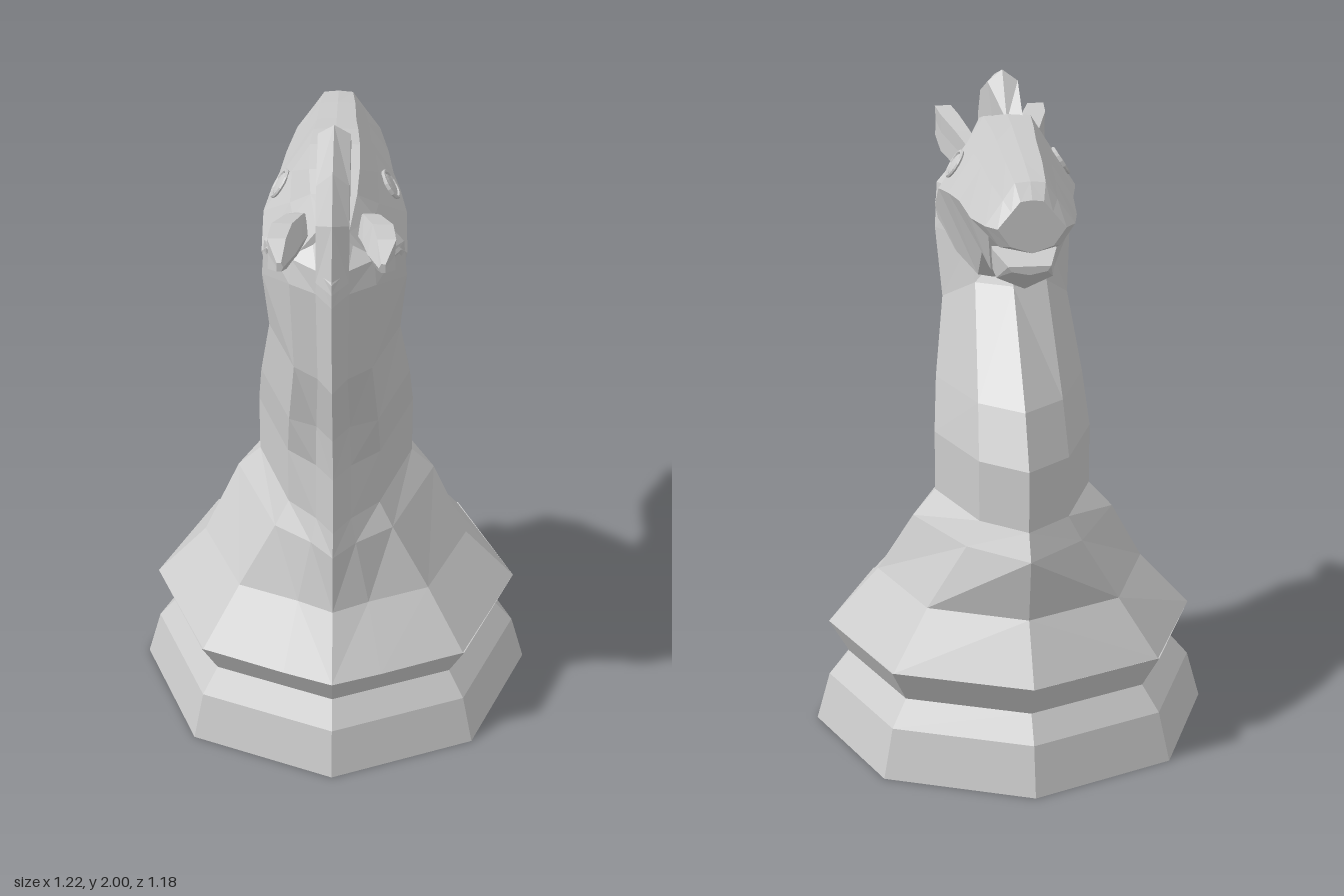
import * as THREE from 'three';

const material = new THREE.MeshStandardMaterial({ color: 0xcccccc, flatShading: true });

function addMesh(parent, name, geometry) {
  const mesh = new THREE.Mesh(geometry, material);
  mesh.name = name;
  parent.add(mesh);
  return mesh;
}

// Mirrors a half section (first and last points on x = 0) into a closed ring
const mirrorRing = half => [
  ...half,
  ...half.slice(1, -1).reverse().map(([x, y, z]) => [-x, y, z]),
];

// Regular ring of points from an angle rule
const ringOf = (n, point) => Array.from({ length: n }, (_, i) => point((i * 2 * Math.PI) / n, i));

// Skins closed rings, caps both ends and turns all faces outward
function loft(rings) {
  const n = rings[0].length;
  const tris = [];
  for (let i = 0; i < rings.length - 1; i++) {
    for (let j = 0; j < n; j++) {
      const k = (j + 1) % n;
      const [a, b, c, d] = [rings[i][j], rings[i][k], rings[i + 1][k], rings[i + 1][j]];
      // Mirrored diagonals keep both halves alike
      if (j < n / 2) tris.push([a, b, c], [a, c, d]);
      else tris.push([a, b, d], [b, c, d]);
    }
  }
  const cap = (ring, flip) => {
    const mid = [0, 1, 2].map(c => ring.reduce((s, p) => s + p[c], 0) / n);
    ring.forEach((p, j) => {
      const q = ring[(j + 1) % n];
      tris.push(flip ? [mid, q, p] : [mid, p, q]);
    });
  };
  cap(rings[0], true);
  cap(rings[rings.length - 1], false);
  const [u, v, w] = [0, 1, 2].map(() => new THREE.Vector3());
  let volume = 0;
  for (const [a, b, c] of tris) {
    volume += u.fromArray(a).dot(v.fromArray(b).cross(w.fromArray(c)));
  }
  if (volume < 0) tris.forEach(t => t.reverse());
  const geometry = new THREE.BufferGeometry();
  geometry.setAttribute('position', new THREE.Float32BufferAttribute(tris.flat(2), 3));
  geometry.computeVertexNormals();
  return geometry;
}

// Neck section: mane ridge, mane edge, back, side, chest edge, chest ridge
function neckRing([y, maneZ, backZ, halfWidth, sideZ, chestZ, frontZ, backRise, frontRise]) {
  const flared = y < 0.6;
  return mirrorRing([
    [0, y + backRise, maneZ],
    [(flared ? 0.26 : 0.22) * halfWidth, y + backRise, maneZ - (flared ? 0.055 : 0.078)],
    [(flared ? 0.7 : 0.58) * halfWidth, y + backRise, backZ],
    [halfWidth, y, sideZ],
    [(flared ? 0.7 : 0.56) * halfWidth, y + frontRise, chestZ],
    [0, y + frontRise, frontZ],
  ]);
}

// Head section: underside, jaw edge, cheek, brow, top edge, top
function headRing([z, jawX, jawY, cheekX, cheekY, topY]) {
  return mirrorRing([
    [0, jawY - 0.02, z],
    [jawX, jawY, z],
    [cheekX, cheekY, z],
    [0.6 * cheekX, topY - 0.4 * (topY - cheekY), z],
    [0.34 * cheekX, topY, z],
    [0, topY + 0.004, z],
  ]);
}

export function createModel() {
  const model = new THREE.Group();
  model.name = 'knightChessPiece';

  // Octagonal stepped base
  addMesh(model, 'base', loft([[0, 0.61], [0.15, 0.568], [0.225, 0.505], [0.33, 0.565]]
    .map(([y, r]) => ringOf(8, a => [r * Math.sin(a), y, 0.97 * r * Math.cos(a)]))));

  // Body flaring from the base into the curved neck
  addMesh(model, 'bodyAndNeck', loft([
    [0.33, 0.548, 0.388, 0.565, 0, -0.388, -0.548, 0, 0],
    [0.5, 0.415, 0.285, 0.41, 0, -0.31, -0.435, 0, 0],
    [0.7, 0.41, 0.25, 0.305, -0.07, -0.33, -0.475, 0, 0],
    [0.775, 0.39, 0.225, 0.235, -0.055, -0.32, -0.43, 0, 0],
    [0.96, 0.38, 0.225, 0.235, -0.055, -0.32, -0.43, 0, 0],
    [1.11, 0.4, 0.285, 0.222, 0.02, -0.24, -0.345, 0, 0],
    [1.33, 0.49, 0.35, 0.19, 0.12, -0.02, -0.08, 0, 0.08],
    [1.53, 0.515, 0.385, 0.205, 0.175, 0.02, -0.02, 0.09, 0],
    [1.66, 0.512, 0.37, 0.195, 0.21, 0.05, 0.02, 0.03, 0],
    [1.76, 0.44, 0.3, 0.11, 0.21, 0.1, 0.08, 0, 0],
  ].map(neckRing)));

  // Head from nose to back of the skull
  addMesh(model, 'head', loft([
    [-0.47, 0.06, 1.64, 0.095, 1.69, 1.765],
    [-0.43, 0.085, 1.63, 0.125, 1.69, 1.808],
    [-0.3, 0.1, 1.63, 0.15, 1.68, 1.835],
    [-0.27, 0.09, 1.52, 0.153, 1.683, 1.84],
    [-0.14, 0.1, 1.535, 0.165, 1.69, 1.86],
    [-0.04, 0.1, 1.44, 0.185, 1.688, 1.878],
    [0.07, 0.15, 1.48, 0.203, 1.675, 1.886],
    [0.17, 0.19, 1.53, 0.205, 1.6, 1.86],
    [0.24, 0.14, 1.56, 0.188, 1.65, 1.82],
    [0.36, 0.08, 1.61, 0.13, 1.66, 1.77],
  ].map(headRing)));

  // Lower jaw: z, keel y, edge x and y, lip x and y
  addMesh(model, 'lowerJaw', loft([
    [-0.2, 1.51, 0.09, 1.535, 0.09, 1.6],
    [-0.32, 1.475, 0.08, 1.51, 0.09, 1.592],
    [-0.425, 1.545, 0.05, 1.555, 0.06, 1.57],
  ].map(([z, keel, ex, ey, lx, ly]) =>
    mirrorRing([[0, keel, z], [ex, ey, z], [lx, ly, z], [0, ly, z]]))));

  // Crest of the mane: ridge z and y, bevel z and y, root z and y
  addMesh(model, 'maneCrest', loft([
    [0.07, 1.87, 0.04, 1.87, 0.06, 1.84],
    [0.18, 2, 0.17, 1.968, 0.16, 1.83],
    [0.37, 1.95, 0.355, 1.905, 0.27, 1.79],
    [0.46, 1.84, 0.42, 1.82, 0.34, 1.74],
    [0.515, 1.66, 0.445, 1.66, 0.4, 1.64],
  ].map(([z, y, bz, by, rz, ry]) =>
    mirrorRing([[0, y, z], [0.045, by, bz], [0.045, ry, rz], [0, ry, rz]]))));

  // Ears: centre x, y, z and radii, hexagonal with a hollow on the outer face
  const earStations = [
    [0.085, 1.73, 0.235, 0.03, 0.035],
    [0.105, 1.737, 0.3, 0.045, 0.063],
    [0.135, 1.765, 0.41, 0.055, 0.066],
    [0.145, 1.783, 0.505, 0.05, 0.053],
    [0.137, 1.773, 0.56, 0.012, 0.015],
  ];
  for (const [side, s] of [['left', 1], ['right', -1]]) {
    addMesh(model, side + 'Ear', loft(earStations.map(([x, y, z, rx, ry]) =>
      ringOf(6, (a, i) => [
        s * (x + rx * (i === 0 ? 0.45 : 1) * Math.cos(a)),
        y + ry * Math.sin(a),
        z,
      ]))));

    // Eyes lying on the sloping cheeks
    const eye = new THREE.Group();
    eye.name = side + 'Eye';
    eye.position.set(s * 0.157, 1.752, 0.05);
    eye.quaternion.setFromUnitVectors(
      new THREE.Vector3(0, 0, 1), new THREE.Vector3(s * 0.84, 0.54, 0).normalize());
    addMesh(eye, 'eyeRim', new THREE.TorusGeometry(0.041, 0.006, 6, 16));
    addMesh(eye, 'eyeball', new THREE.SphereGeometry(0.034, 12, 8)).scale.z = 0.2;
    model.add(eye);
  }

  return model;
}
